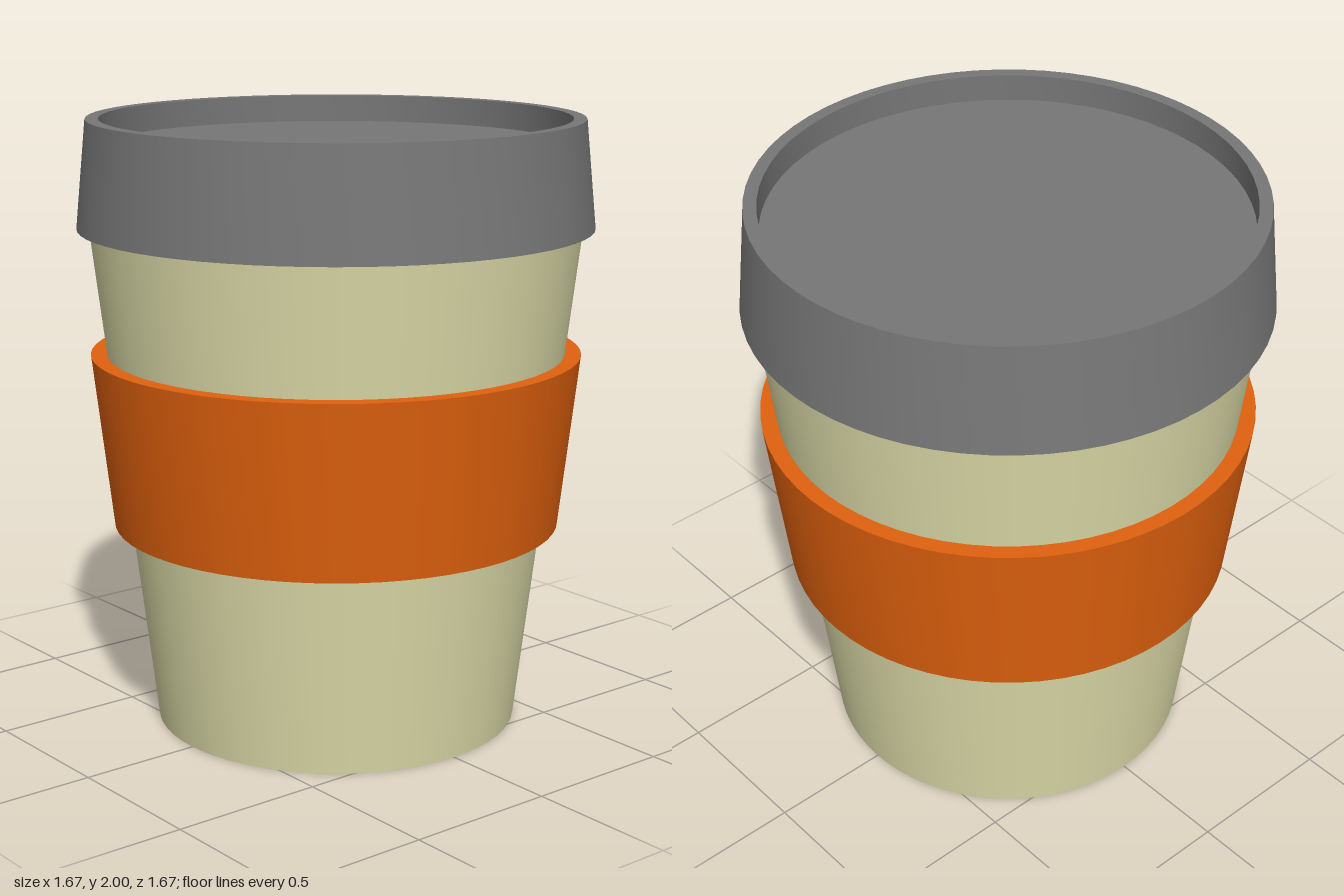
import * as THREE from 'three';
import { toCreasedNormals } from 'three/addons/utils/BufferGeometryUtils.js';

const SEGMENTS = 64;

const material = (name, color) => {
  const m = new THREE.MeshStandardMaterial({ color });
  m.name = name;
  return m;
};

// Revolve a [radius, height] profile, listed from bottom to top on the outside
function revolve(name, profile, mat) {
  const points = profile.map(([r, y]) => new THREE.Vector2(r, y));
  const geometry = toCreasedNormals(new THREE.LatheGeometry(points, SEGMENTS), 0.5);
  const mesh = new THREE.Mesh(geometry, mat);
  mesh.name = name;
  return mesh;
}

export function createModel() {
  const cream = material('cream', 0xdddca9);
  const orange = material('orange', 0xe0610e);
  const grey = material('grey', 0x777777);

  const model = new THREE.Group();
  model.name = 'travelCup';

  // Tapered body with a recessed base
  model.add(revolve('cupBody', [
    [0, 0.065], [0.565, 0.065], [0.56, 0], [0.6, 0], [0.797, 1.66], [0, 1.66],
  ], cream));

  // Grip sleeve standing proud of the body
  model.add(revolve('gripSleeve', [
    [0.675, 0.67], [0.735, 0.67], [0.8, 1.24], [0.742, 1.24], [0.675, 0.67],
  ], orange));

  // Lid with a raised rim around a sunken top
  model.add(revolve('lid', [
    [0.785, 1.65], [0.835, 1.65], [0.8, 2], [0.758, 2], [0.758, 1.91], [0, 1.91],
  ], grey));

  return model;
}
